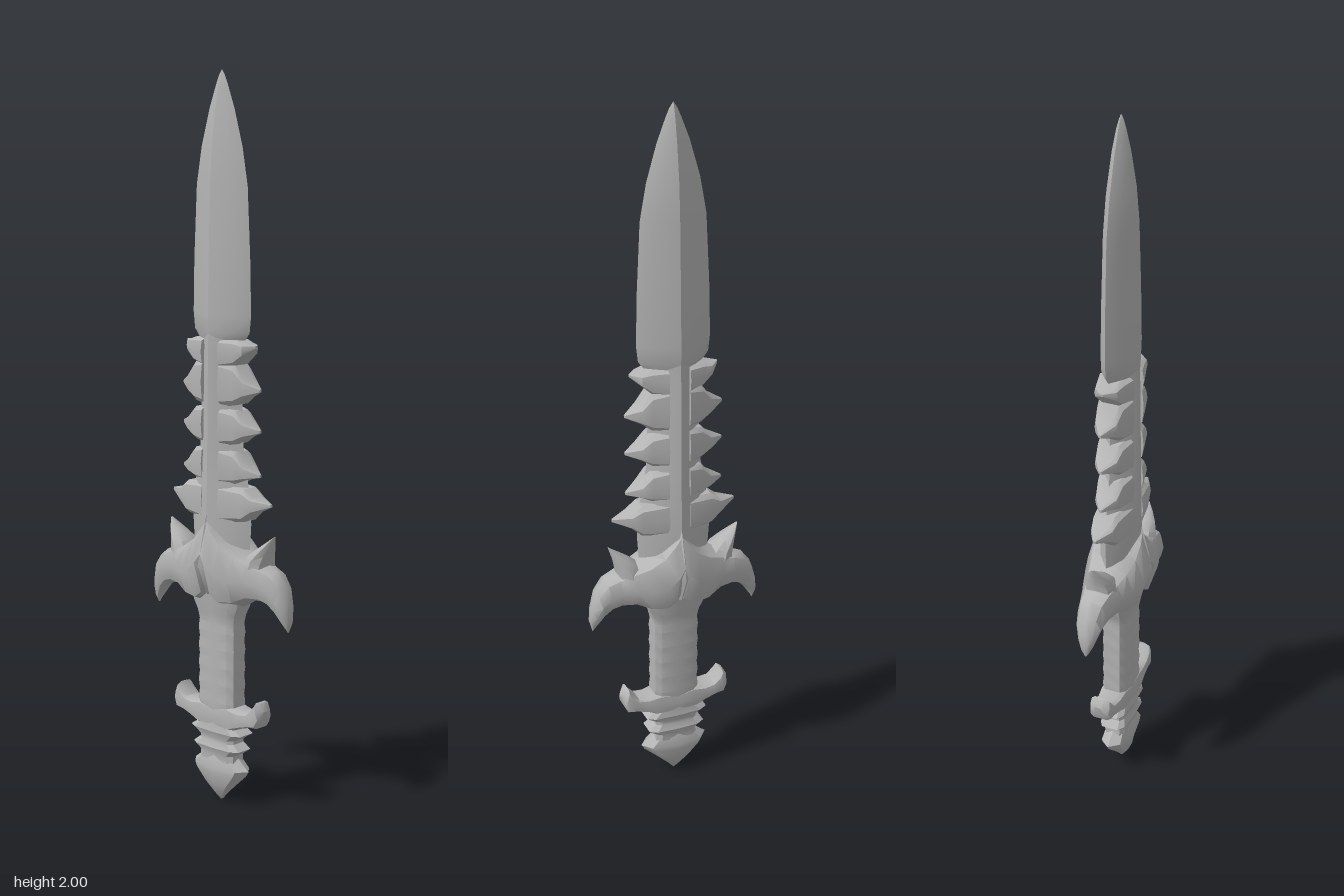
import * as THREE from 'three';
import { toCreasedNormals } from 'three/addons/utils/BufferGeometryUtils.js';

const steel = new THREE.MeshStandardMaterial({ color: 0xb4b4b4 });
steel.name = 'steel';

// Cross-section rings: [across the outline, along the depth]
const LENS = [[1, 0], [0.62, 0.55], [0, 1], [-0.62, 0.55], [-1, 0], [-0.62, -0.55], [0, -1], [0.62, -0.55]];
const ROUND = [[1, 0], [0.75, 0.72], [0, 1], [-0.75, 0.72], [-1, 0], [-0.75, -0.72], [0, -1], [0.75, -0.72]];
const BLOCK = [[1, 0.6], [0.75, 0.92], [0, 1], [-0.75, 0.92], [-1, 0.6], [-1, -0.6], [-0.75, -0.92], [0, -1], [0.75, -0.92], [1, -0.6]];

// Skins stations [ax, ay, bx, by, depth]: two outline points and the half depth between them
function loft(name, stations, ring, crease = 0.6) {
  const n = ring.length, pos = [], idx = [];
  for (const [ax, ay, bx, by, d] of stations) {
    for (const [u, v] of ring) {
      pos.push((ax + bx) / 2 + (bx - ax) / 2 * u, (ay + by) / 2 + (by - ay) / 2 * u, d * v);
    }
  }
  for (let s = 0; s < stations.length - 1; s++) {
    for (let i = 0; i < n; i++) {
      const a = s * n + i, b = s * n + (i + 1) % n;
      idx.push(a, b, a + n, b, b + n, a + n);
    }
  }
  const last = (stations.length - 1) * n;
  for (let i = 1; i < n - 1; i++) idx.push(0, i + 1, i, last, last + i, last + i + 1);

  // Turn the faces outward whichever way the stations run
  let volume = 0;
  const p = (i) => new THREE.Vector3().fromArray(pos, i * 3);
  for (let i = 0; i < idx.length; i += 3) volume += p(idx[i]).dot(p(idx[i + 1]).cross(p(idx[i + 2])));
  if (volume < 0) idx.reverse();

  const g = new THREE.BufferGeometry();
  g.setAttribute('position', new THREE.Float32BufferAttribute(pos, 3));
  g.setIndex(idx);
  const mesh = new THREE.Mesh(toCreasedNormals(g, crease), steel);
  mesh.name = name;
  return mesh;
}

// Upright symmetric body from rows [y, half width, half depth]
const column = (name, rows, ring, crease) =>
  loft(name, rows.map(([y, w, d]) => [-w, y, w, y, d]), ring, crease);

// The same loft on both sides
function pair(name, stations, ring, crease) {
  const g = new THREE.Group();
  g.name = name + 's';
  const flipped = stations.map(([ax, ay, bx, by, d]) => [-ax, ay, -bx, by, d]);
  g.add(loft(name + 'Left', stations, ring, crease), loft(name + 'Right', flipped, ring, crease));
  return g;
}

export function createModel() {
  const model = new THREE.Group();
  model.name = 'dagger';

  // Blade and the narrower spine below it
  model.add(column('blade', [
    [1.295, 0.085, 0.05], [1.315, 0.1, 0.054], [1.36, 0.105, 0.055], [1.5, 0.102, 0.052], [1.7, 0.092, 0.046],
    [1.8, 0.074, 0.04], [1.9, 0.045, 0.026], [1.96, 0.022, 0.014], [1.985, 0.011, 0.007], [2, 0.001, 0.001],
  ], LENS));
  model.add(column('spine', [
    [0.68, 0.1, 0.06], [0.8, 0.108, 0.062], [0.9, 0.098, 0.06], [1.0, 0.08, 0.058],
    [1.15, 0.074, 0.056], [1.25, 0.07, 0.055], [1.31, 0.075, 0.053],
  ], LENS));

  // Collar under the blade and the barbs along the spine: [tip x, tip y, rise, drop]
  const barbs = [
    [0.125, 1.28, 0.018, 0.06], [0.14, 1.165, 0.075, 0.05], [0.14, 1.055, 0.06, 0.045],
    [0.14, 0.935, 0.07, 0.03], [0.18, 0.86, 0.045, 0.06],
  ];
  for (const [x, y, up, down] of barbs) {
    const wide = x > 0.15 ? 0.03 : 0;
    model.add(pair('barb', [
      [0.03, y + up, 0.03, y - down, 0.052],
      [0.072 + wide, y + up * 0.85, 0.072 + wide, y - down * 0.85, 0.04],
      [0.1 + wide, y + up * 0.35, 0.1 + wide, y - down * 0.42, 0.033],
      [x, y + 0.004, x, y - 0.004, 0.004],
    ], BLOCK, 0.5));
  }

  // Guard: a swollen body with a raised crest, sweeping out to drooping horns
  model.add(pair('guardHorn', [
    [0, 0.83, 0, 0.6, 0.088], [0.02, 0.806, 0.015, 0.575, 0.094], [0.05, 0.768, 0.04, 0.56, 0.09],
    [0.09, 0.735, 0.085, 0.568, 0.077], [0.13, 0.715, 0.125, 0.592, 0.062], [0.17, 0.698, 0.165, 0.596, 0.05],
    [0.205, 0.685, 0.19, 0.588, 0.043], [0.232, 0.65, 0.212, 0.57, 0.036], [0.247, 0.6, 0.228, 0.547, 0.024],
    [0.252, 0.56, 0.238, 0.532, 0.012], [0.243, 0.525, 0.241, 0.525, 0.002],
  ], ROUND, 0.8));
  model.add(pair('guardSpike', [
    [0.09, 0.68, 0.17, 0.65, 0.05], [0.115, 0.725, 0.172, 0.695, 0.044], [0.145, 0.745, 0.176, 0.722, 0.034],
    [0.17, 0.762, 0.184, 0.75, 0.02], [0.191, 0.778, 0.193, 0.777, 0.003],
  ], ROUND, 0.8));
  // Pointed crest on each face of the guard
  model.add(column('guardCrest', [
    [0.6, 0.03, 0.06], [0.68, 0.085, 0.094], [0.74, 0.065, 0.083], [0.79, 0.035, 0.07], [0.835, 0.001, 0.058],
  ], LENS, 0.8));

  // Grip with shallow ripples
  const grip = [[0.6, 0.085, 0.05], [0.565, 0.08, 0.045], [0.54, 0.068, 0.041]];
  for (let i = 0; i <= 10; i++) grip.push([0.515 - i * 0.025, 0.063 + (i % 2) * 0.003, 0.037 + (i % 2) * 0.002]);
  model.add(column('grip', grip, BLOCK));

  // Lower guard with flared, upturned ends
  model.add(pair('lowerHorn', [
    [0, 0.275, 0, 0.215, 0.04], [0.05, 0.285, 0.06, 0.215, 0.04], [0.085, 0.275, 0.09, 0.228, 0.036],
    [0.115, 0.278, 0.122, 0.238, 0.034], [0.135, 0.298, 0.147, 0.24, 0.034], [0.143, 0.312, 0.158, 0.262, 0.03],
    [0.15, 0.31, 0.162, 0.288, 0.012],
  ], BLOCK, 0.6));

  // Ringed neck and the pointed pommel
  model.add(column('neck', [
    [0.25, 0.062, 0.038], [0.225, 0.062, 0.038], [0.205, 0.092, 0.042], [0.185, 0.062, 0.034],
    [0.175, 0.062, 0.034], [0.158, 0.084, 0.041], [0.14, 0.06, 0.034], [0.12, 0.062, 0.034],
  ], BLOCK, 0.5));
  model.add(column('pommel', [
    [0.14, 0.05, 0.033], [0.125, 0.068, 0.037], [0.1, 0.1, 0.041], [0.085, 0.09, 0.041],
    [0.05, 0.052, 0.034], [0.02, 0.02, 0.02], [0, 0.002, 0.004],
  ], ROUND, 0.6));

  return model;
}
